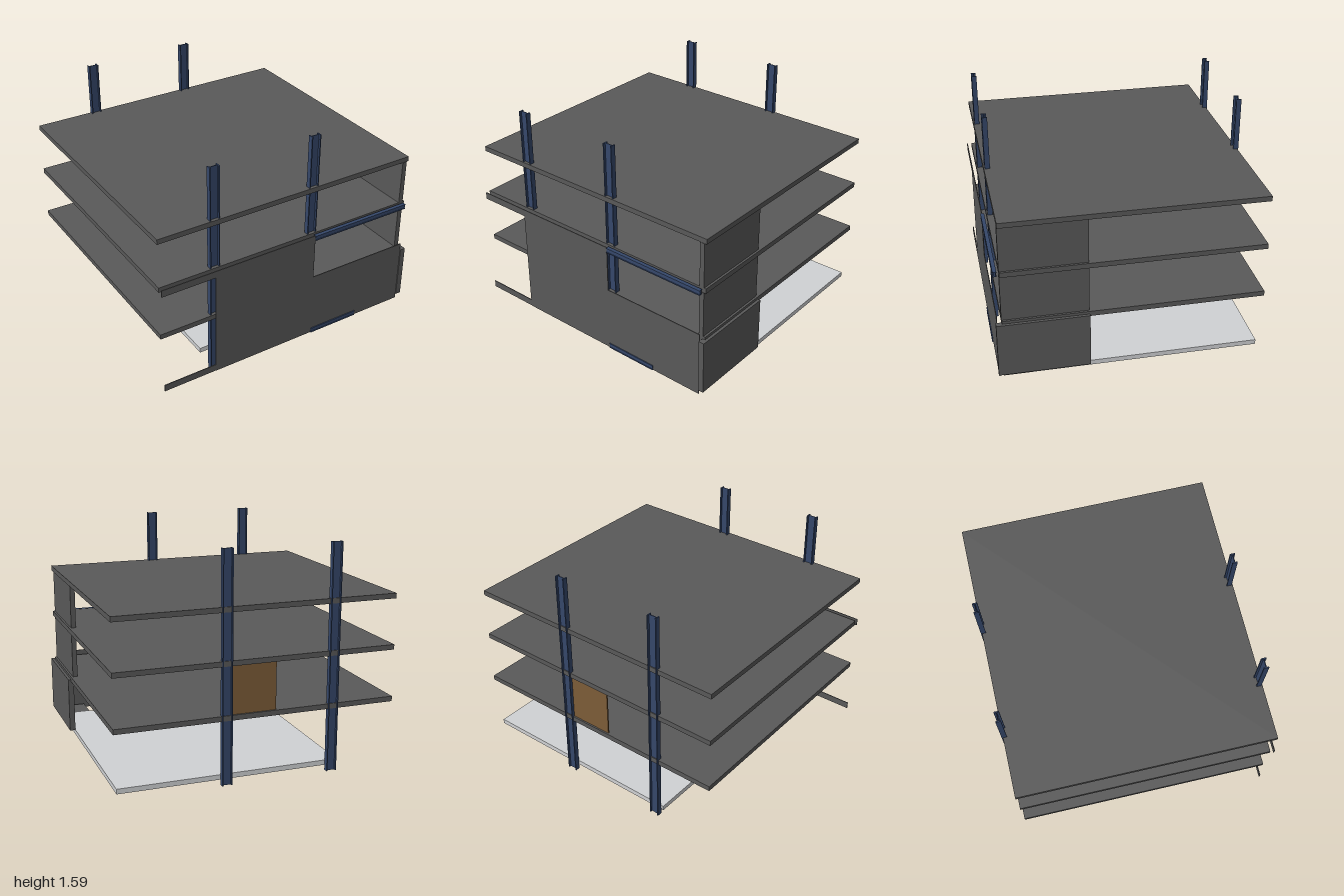
import * as THREE from 'three';

const mat = (name, color, opts = {}) => {
  const m = new THREE.MeshStandardMaterial({ color, ...opts });
  m.name = name;
  return m;
};

export function createModel() {
  const model = new THREE.Group();
  model.name = 'steelFrameBuilding';
  const grey = mat('concreteGrey', 0x595959);
  const pale = mat('paleFloor', 0xd0d2d4);
  const steel = mat('steelBlue', 0x35476a);
  const wood = mat('woodBrown', 0x7c5c38);

  // Box given by its limits along each axis
  const box = (name, material, [x0, x1], [y0, y1], [z0, z1], parent = model) => {
    const mesh = new THREE.Mesh(new THREE.BoxGeometry(x1 - x0, y1 - y0, z1 - z0), material);
    mesh.position.set((x0 + x1) / 2, (y0 + y1) / 2, (z0 + z1) / 2);
    mesh.name = name;
    parent.add(mesh);
    return mesh;
  };

  // Extruded I-section: web along local x, flanges at both ends
  const iSection = (name, width, depth, length, flange, web) => {
    const w = width / 2, d = depth / 2, f = w - flange, t = web / 2;
    const shape = new THREE.Shape([
      [-w, -d], [-f, -d], [-f, -t], [f, -t], [f, -d], [w, -d],
      [w, d], [f, d], [f, t], [-f, t], [-f, d], [-w, d],
    ].map(([x, y]) => new THREE.Vector2(x, y)));
    const geometry = new THREE.ExtrudeGeometry(shape, { depth: length, bevelEnabled: false });
    const mesh = new THREE.Mesh(geometry, steel);
    mesh.name = name;
    model.add(mesh);
    return mesh;
  };

  // Ground floor and three slabs above it
  box('groundFloor', pale, [-0.6, 0.96], [0.035, 0.07], [-0.88, 0.69]);
  box('floorInfill', grey, [0.76, 0.96], [0.035, 0.07], [0.69, 0.878]);
  [['lowerSlab', 0.447], ['middleSlab', 0.816], ['roofSlab', 1.173]].forEach(([name, y]) =>
    box(name, grey, [-1, 0.98], [y, y + 0.036], [-0.907, 0.875]));

  // Four columns
  [[-0.585, 0.85], [0.177, 0.85], [-0.547, -0.898], [0.215, -0.898]].forEach(([x, z]) => {
    const column = iSection(z > 0 ? 'frontColumn' : 'backColumn', 0.072, 0.035, 1.585, 0.008, 0.005);
    column.rotation.x = -Math.PI / 2;
    column.position.set(x, 0, z);
  });

  // Side walls
  box('lowerSideWall', grey, [0.96, 1], [0.07, 0.463], [0.295, 0.915]);
  box('middleSideWall', grey, [0.93, 0.965], [0.483, 0.816], [0.295, 0.877]);
  box('upperSideWall', grey, [0.93, 0.965], [0.852, 1.173], [0.295, 0.877]);

  // Front cladding
  const skin = [0.903, 0.909];
  box('lowerFrontPanel', grey, [-0.605, 0.96], [0.035, 0.463], skin);
  box('frontSpandrel', grey, [-0.605, 0.96], [0.463, 0.513], skin);
  box('middleFrontPanel', grey, [-0.605, 0.18], [0.513, 0.85], skin);
  box('lowerEdgeStrip', grey, [-1, -0.605], [0.037, 0.087], skin);
  box('upperEdgeStrip', grey, [-1, -0.605], [0.8, 0.85], skin);

  // Horizontal beams on the front
  [['sillBeam', 0.57, 0.053], ['headBeam', 0.96, 0.832]].forEach(([name, x1, y]) => {
    const beam = iSection(name, 0.036, 0.026, x1 - 0.18, 0.005, 0.016);
    beam.rotation.order = 'YXZ';
    beam.rotation.set(0, Math.PI / 2, Math.PI / 2);
    beam.position.set(0.18, y, 0.903);
  });

  // Wooden panel at the back
  box('backWoodPanel', wood, [-0.135, 0.238], [0.483, 0.816], [-0.895, -0.885]);

  return model;
}
